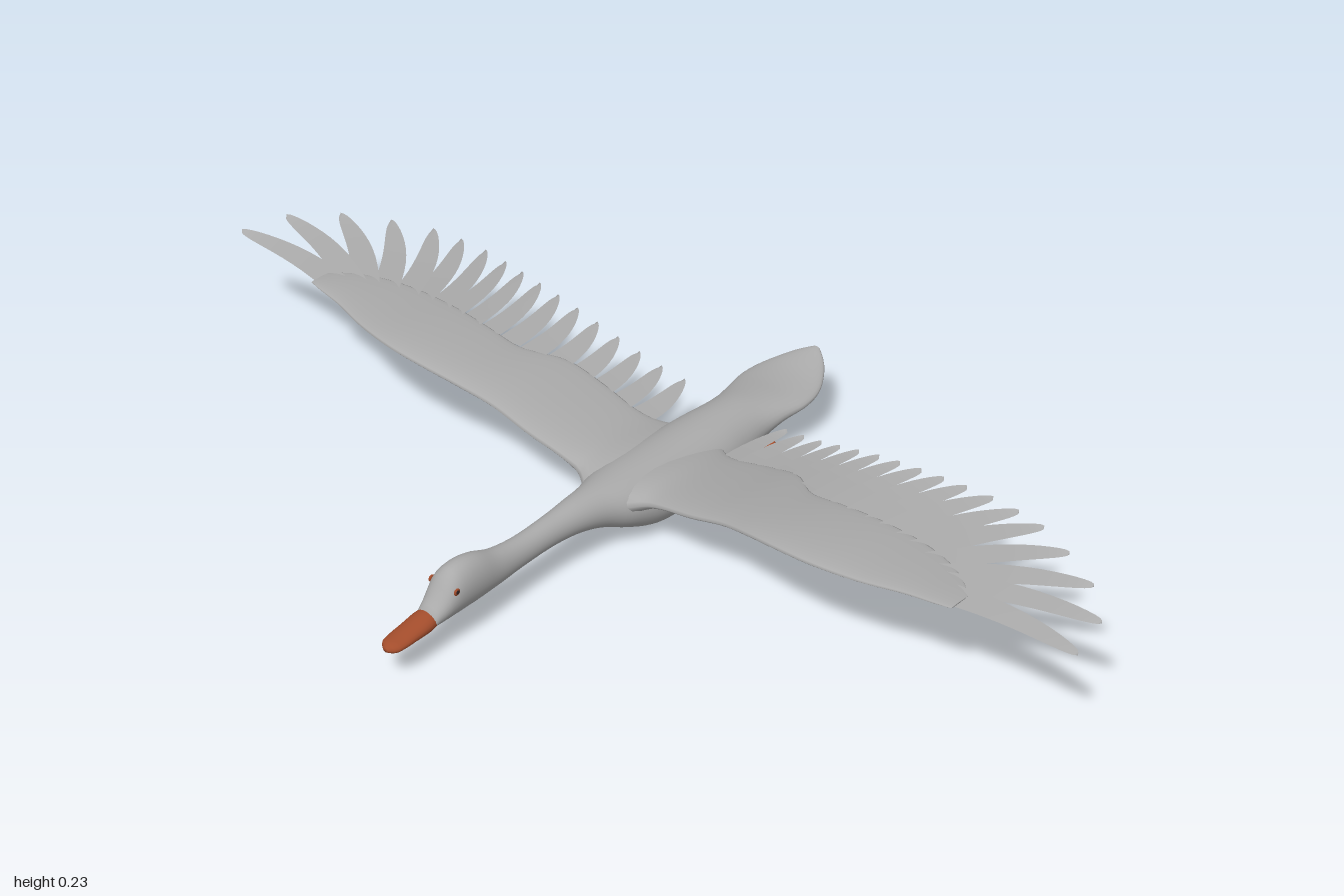
import * as THREE from 'three';

// Smooth interpolation of table rows; the first column is the key.
function spline(rows) {
  const keys = rows.map(r => r[0]);
  const values = rows.flatMap(r => r.slice(1));
  const curve = new THREE.CubicInterpolant(keys, values, rows[0].length - 1);
  return k => Array.from(curve.evaluate(k));
}

// Closed skin through equally sized rings of Vector3, capped at both ends.
function loft(rings, flip = false) {
  const n = rings[0].length, pos = [], idx = [];
  const tri = (a, b, c) => (flip ? idx.push(a, c, b) : idx.push(a, b, c));
  rings.forEach(r => r.forEach(p => pos.push(p.x, p.y, p.z)));
  for (let i = 0; i < rings.length - 1; i++) {
    for (let j = 0; j < n; j++) {
      const a = i * n + j, b = i * n + (j + 1) % n;
      tri(a, b, a + n);
      tri(b, b + n, a + n);
    }
  }
  [0, rings.length - 1].forEach(i => {
    const c = rings[i].reduce((s, p) => s.add(p), new THREE.Vector3()).divideScalar(n);
    const at = pos.length / 3;
    pos.push(c.x, c.y, c.z);
    for (let j = 0; j < n; j++) {
      const a = i * n + j, b = i * n + (j + 1) % n;
      if (i === 0) tri(at, b, a); else tri(at, a, b);
    }
  });
  const g = new THREE.BufferGeometry();
  g.setAttribute('position', new THREE.Float32BufferAttribute(pos, 3));
  g.setIndex(idx);
  g.computeVertexNormals();
  return g;
}

// Oval sections along z from rows of [z, top, bottom, half width].
function ovalLoft(rows, steps, sides) {
  const at = spline(rows), z0 = rows[0][0], z1 = rows[rows.length - 1][0];
  const rings = [];
  for (let i = 0; i <= steps; i++) {
    const z = z0 + (z1 - z0) * i / steps;
    const [top, bottom, w] = at(z);
    rings.push(Array.from({ length: sides }, (_, j) => {
      const a = j / sides * Math.PI * 2;
      return new THREE.Vector3(w * Math.cos(a), (top + bottom) / 2 + (top - bottom) / 2 * Math.sin(a), z);
    }));
  }
  return loft(rings);
}

const BODY = [
  [-0.575, 0.143, 0.136, 0.008], [-0.56, 0.139, 0.121, 0.03], [-0.54, 0.134, 0.109, 0.048],
  [-0.5, 0.127, 0.094, 0.071], [-0.45, 0.126, 0.084, 0.079], [-0.4, 0.131, 0.07, 0.071],
  [-0.35, 0.137, 0.044, 0.065], [-0.3, 0.14, 0.019, 0.07], [-0.25, 0.141, 0.01, 0.077],
  [-0.15, 0.142, 0.008, 0.08], [-0.06, 0.143, 0.014, 0.077], [0, 0.143, 0.037, 0.064],
  [0.05, 0.143, 0.06, 0.044], [0.1, 0.142, 0.074, 0.034], [0.16, 0.138, 0.08, 0.027],
  [0.25, 0.136, 0.077, 0.025], [0.31, 0.145, 0.072, 0.028], [0.36, 0.164, 0.07, 0.033],
  [0.4, 0.168, 0.07, 0.035], [0.43, 0.158, 0.07, 0.034], [0.455, 0.125, 0.07, 0.028],
  [0.48, 0.1, 0.07, 0.022],
];
const BEAK = [
  [0.465, 0.104, 0.07, 0.021], [0.48, 0.103, 0.068, 0.0245], [0.52, 0.095, 0.067, 0.024],
  [0.55, 0.089, 0.067, 0.0225], [0.567, 0.086, 0.067, 0.018], [0.576, 0.08, 0.071, 0.006],
];

// Wing: [x, leading z, trailing z, height, half thickness]
const WING = [
  [0.02, 0.04, -0.27, 0.096, 0.047], [0.05, 0.022, -0.245, 0.105, 0.04], [0.08, 0.003, -0.22, 0.115, 0.028],
  [0.11, 0.003, -0.205, 0.126, 0.019], [0.2, 0.013, -0.2, 0.152, 0.016], [0.28, 0.02, -0.185, 0.178, 0.015],
  [0.35, 0.036, -0.137, 0.198, 0.014], [0.42, 0.049, -0.13, 0.212, 0.013], [0.5, 0.053, -0.13, 0.22, 0.012],
  [0.6, 0.038, -0.125, 0.223, 0.009], [0.68, 0.016, -0.105, 0.226, 0.007], [0.74, 0.006, -0.07, 0.229, 0.005],
  [0.765, 0, -0.045, 0.23, 0.002],
];
const HEIGHT = spline([...WING.map(r => [r[0], r[3]]), [0.88, 0.233], [1.02, 0.236]]);
const heightAt = x => HEIGHT(x)[0];

function wingGeometry(side) {
  const at = spline(WING), steps = 44, n = 24, rings = [];
  for (let i = 0; i <= steps; i++) {
    const x = 0.02 + 0.745 * i / steps;
    const [lead, trail, y, h] = at(x);
    rings.push(Array.from({ length: n }, (_, j) => {
      const a = j / n * Math.PI * 2, c = Math.cos(a);
      return new THREE.Vector3(side * x, y + h * Math.sin(a) * (0.75 + 0.3 * c), (lead + trail) / 2 + (lead - trail) / 2 * c);
    }));
  }
  return loft(rings, side > 0);
}

// Flight feathers: [root x, root z, tip x, tip z, half width]
const FEATHERS = [
  [0.7, -0.025, 0.998, -0.04, 0.027], [0.7, -0.05, 0.975, -0.137, 0.027], [0.68, -0.06, 0.903, -0.213, 0.027],
  [0.65, -0.08, 0.815, -0.263, 0.027], [0.61, -0.09, 0.735, -0.298, 0.027], [0.58, -0.1, 0.672, -0.31, 0.026],
  [0.54, -0.11, 0.612, -0.315, 0.025],
];
for (let i = 0; i < 10; i++) {
  const tx = 0.557 - i * 0.048, u = i / 9;
  FEATHERS.push([tx - 0.05 + 0.035 * u, -0.11 - 0.06 * u, tx, -0.312 + 0.045 * u * (1 - u) - 0.028 * u * u, 0.024]);
}

// Curved blade with a rounded tip, laid on the wing surface.
function featherGeometry([rx, rz, tx, tz, w], side) {
  const dx = tx - rx, dz = tz - rz, len = Math.hypot(dx, dz);
  const nx = -dz / len, nz = dx / len;
  const pos = [], idx = [], steps = 12;
  for (let i = 0; i <= steps; i++) {
    const t = 1 - Math.pow(1 - i / steps, 1.6);
    const half = w * Math.sqrt(Math.max(0, 1 - Math.pow(t, 3))) * (1 - 0.2 * t);
    const bend = -0.05 * len * Math.sin(Math.PI * t);
    for (const e of [-1, 1]) {
      const x = rx + dx * t + nx * (bend + e * half), z = rz + dz * t + nz * (bend + e * half);
      pos.push(side * x, heightAt(x) - 0.003 * e - 0.004 * t, z);
    }
    if (i < steps) {
      const a = i * 2;
      if (side > 0) idx.push(a, a + 1, a + 2, a + 1, a + 3, a + 2);
      else idx.push(a, a + 2, a + 1, a + 1, a + 2, a + 3);
    }
  }
  const g = new THREE.BufferGeometry();
  g.setAttribute('position', new THREE.Float32BufferAttribute(pos, 3));
  g.setIndex(idx);
  g.computeVertexNormals();
  return g;
}

export function createModel() {
  const material = (name, color) => Object.assign(new THREE.MeshStandardMaterial({ color }), { name });
  const plumage = material('grey plumage', 0xaaaaaa);
  plumage.side = THREE.DoubleSide;
  const orange = material('burnt orange', 0xa34d2c);
  const dark = material('dark pupil', 0x2a2020);

  const model = new THREE.Group();
  model.name = 'flyingGoose';
  const add = (parent, name, geometry, mat) => {
    const mesh = new THREE.Mesh(geometry, mat);
    mesh.name = name;
    parent.add(mesh);
    return mesh;
  };
  const ball = new THREE.SphereGeometry(1, 20, 14);

  // Head, neck, body and tail
  add(model, 'body', ovalLoft(BODY, 90, 32), plumage);
  add(model, 'beak', ovalLoft(BEAK, 16, 20), orange);

  for (const side of [1, -1]) {
    const label = side > 0 ? 'left' : 'right';

    // Wing and its flight feathers
    const wing = new THREE.Group();
    wing.name = label + 'Wing';
    model.add(wing);
    add(wing, 'wingArm', wingGeometry(side), plumage);
    FEATHERS.forEach((f, i) => add(wing, 'feather' + (i + 1), featherGeometry(f, side), plumage));

    // Eye
    const eye = add(model, label + 'Eye', ball, orange);
    eye.position.set(side * 0.0305, 0.134, 0.43);
    eye.scale.set(0.003, 0.007, 0.007);
    const pupil = add(model, label + 'Pupil', ball, dark);
    pupil.position.set(side * 0.0325, 0.1345, 0.43);
    pupil.scale.set(0.002, 0.004, 0.004);

    // Tucked leg and trailing foot
    const leg = add(model, label + 'Leg', ball, plumage);
    leg.position.set(side * 0.043, 0.021, -0.287);
    leg.rotation.x = -0.3;
    leg.scale.set(0.016, 0.012, 0.05);
    const foot = add(model, label + 'Foot', ball, orange);
    foot.position.set(side * 0.046, 0.024, -0.357);
    foot.rotation.x = 0.48;
    foot.scale.set(0.023, 0.009, 0.044);
  }
  return model;
}
